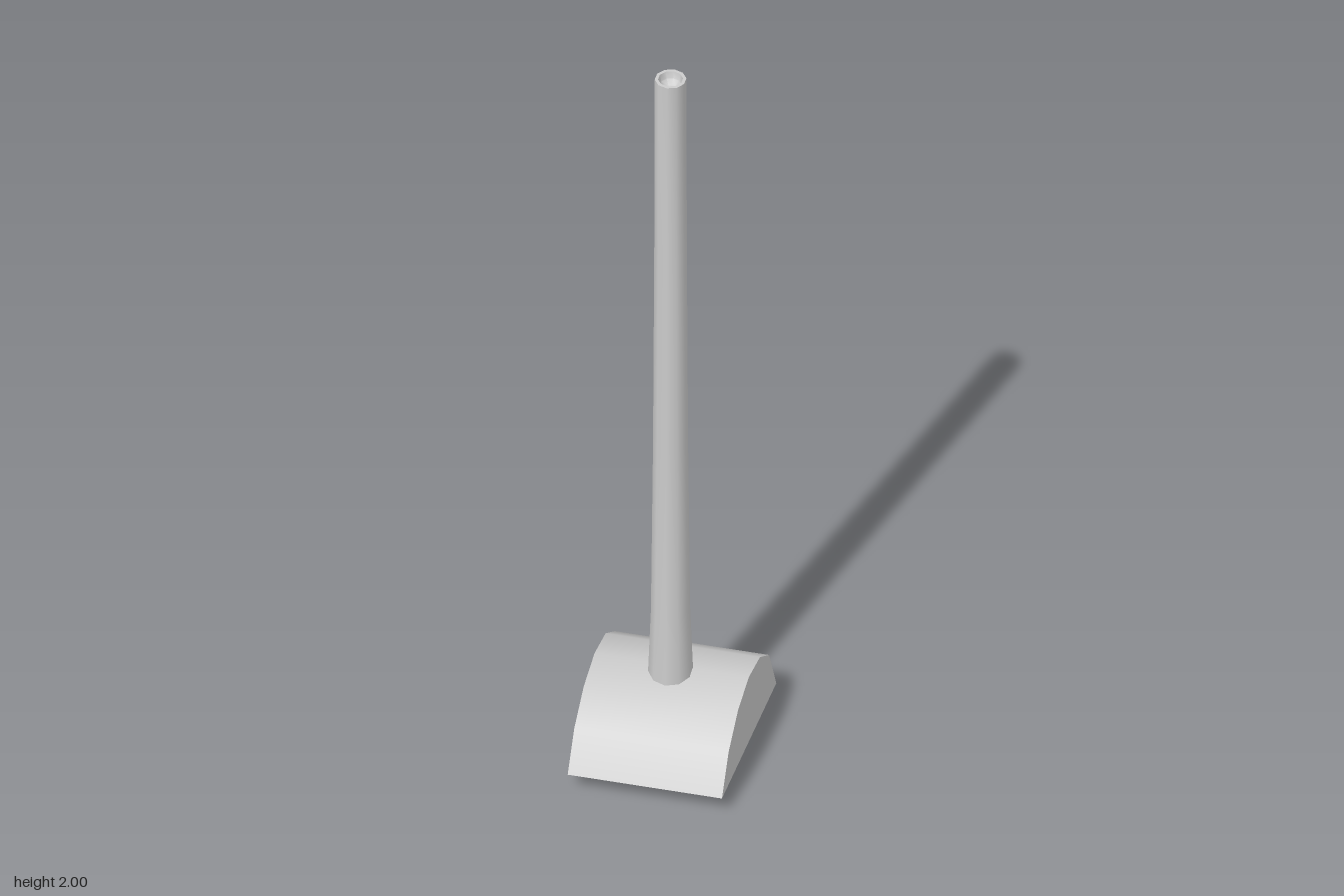
import * as THREE from 'three';
import { toCreasedNormals } from 'three/addons/utils/BufferGeometryUtils.js';

const points = (list) => list.map(([a, b]) => new THREE.Vector2(a, b));

export function createModel() {
  const model = new THREE.Group();
  const material = new THREE.MeshStandardMaterial({ color: 0xcccccc });

  const add = (name, geometry) => {
    const mesh = new THREE.Mesh(toCreasedNormals(geometry, 0.7), material);
    mesh.name = name;
    model.add(mesh);
    return mesh;
  };

  // Domed head: side profile (z, y) with a sloping underside, extruded across x
  const width = 0.38;
  const profile = new THREE.Shape(points([
    [-0.265, 0], [0.265, 0.05], [0.2, 0.142], [0.108, 0.199],
    [0.003, 0.22], [-0.105, 0.199], [-0.195, 0.138],
  ]));
  const head = new THREE.ExtrudeGeometry(profile, { depth: width, bevelEnabled: false });
  head.translate(0, 0, -width / 2).rotateY(-Math.PI / 2);
  add('head', head);

  // Ten-sided handle: flared foot, slight taper, narrow rim and hollow end
  const handle = new THREE.LatheGeometry(points([
    [0, 0.18], [0.055, 0.18], [0.054, 0.21], [0.047, 0.4], [0.042, 0.9],
    [0.039, 1.5], [0.038, 2], [0.03, 2], [0.026, 1.982], [0.015, 1.972], [0, 1.968],
  ]), 10);
  add('handle', handle).position.z = 0.014;

  return model;
}
